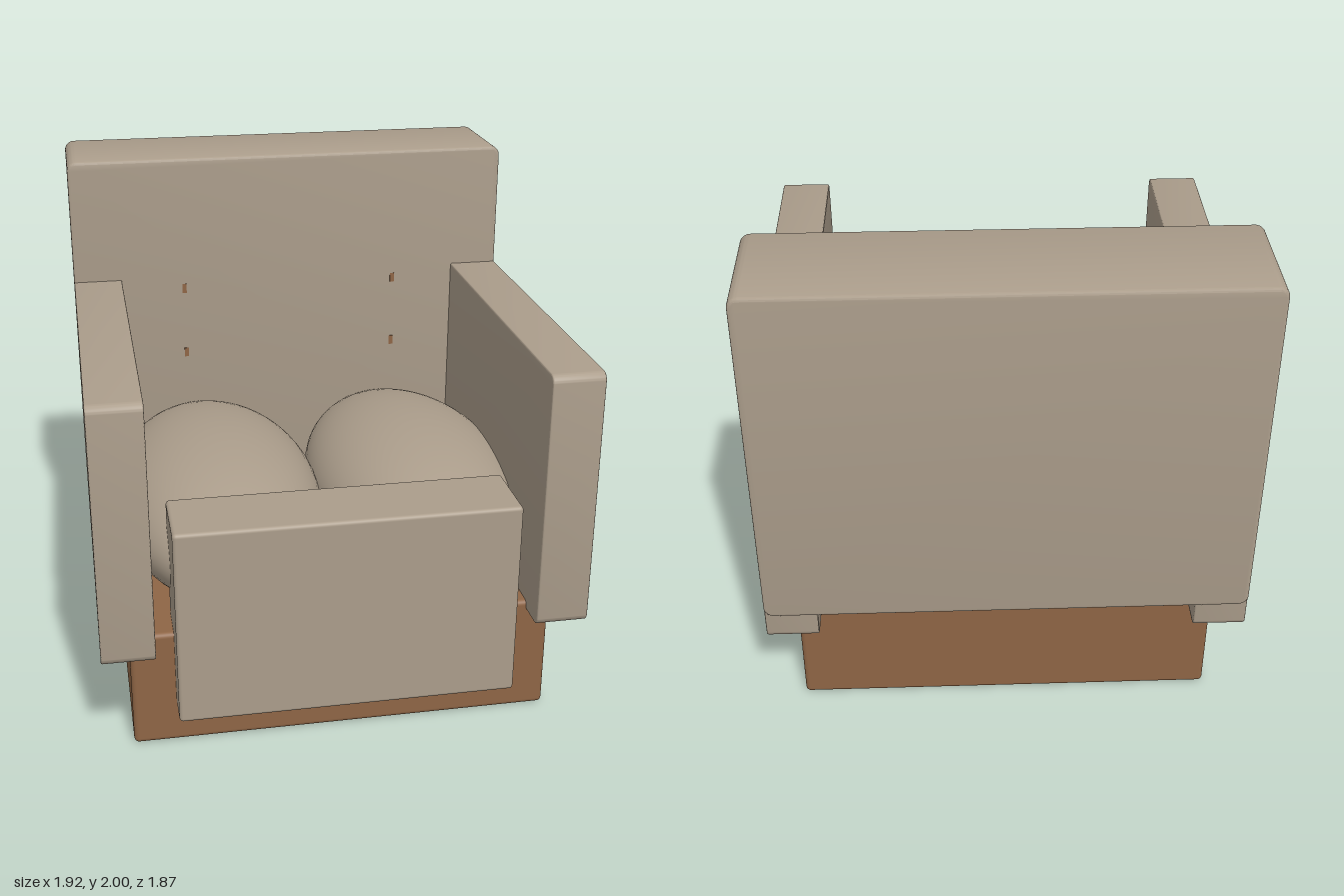
import * as THREE from 'three';
import { toCreasedNormals } from 'three/addons/utils/BufferGeometryUtils.js';
import { RoundedBoxGeometry } from 'three/addons/geometries/RoundedBoxGeometry.js';

// Centred slab with rounded profile corners (radius r) and a small bevel on its two faces
function slabGeometry(w, h, depth, r, bevel) {
  const x = w / 2 - bevel, y = h / 2 - bevel, c = r - bevel;
  const s = new THREE.Shape();
  s.moveTo(-x + c, -y);
  s.lineTo(x - c, -y);
  s.absarc(x - c, -y + c, c, -Math.PI / 2, 0);
  s.lineTo(x, y - c);
  s.absarc(x - c, y - c, c, 0, Math.PI / 2);
  s.lineTo(-x + c, y);
  s.absarc(-x + c, y - c, c, Math.PI / 2, Math.PI);
  s.lineTo(-x, -y + c);
  s.absarc(-x + c, -y + c, c, Math.PI, Math.PI * 1.5);
  const g = new THREE.ExtrudeGeometry(s, {
    depth: depth - 2 * bevel, bevelEnabled: true, bevelThickness: bevel,
    bevelSize: bevel, bevelSegments: 3, curveSegments: 6,
  });
  g.center();
  return toCreasedNormals(g, 0.7);
}

export function createModel() {
  const group = new THREE.Group();
  const fabric = new THREE.MeshStandardMaterial({ color: 0xab9d8b });
  fabric.name = 'taupe fabric';
  const wood = new THREE.MeshStandardMaterial({ color: 0x8e6545 });
  wood.name = 'brown wood';

  const add = (name, geometry, material, x, y, z) => {
    const mesh = new THREE.Mesh(geometry, material);
    mesh.name = name;
    mesh.position.set(x, y, z);
    group.add(mesh);
    return mesh;
  };

  const midX = -0.025; // the chair body sits off centre because of the side knob

  // Plinth, backrest and front panel
  add('base', new RoundedBoxGeometry(1.65, 0.48, 1.59, 3, 0.02), wood, midX, 0.24, 0.005);
  add('backrest', slabGeometry(1.87, 1.43, 0.45, 0.04, 0.012), fabric, midX, 1.285, -0.71);
  add('frontPanel', new RoundedBoxGeometry(1.31, 0.797, 0.3, 3, 0.015), fabric, midX, 0.564, 0.78);

  for (const [side, s] of [['left', 1], ['right', -1]]) {
    // Arm: profile in the side plane
    const arm = slabGeometry(1.855, 1.035, 0.203, 0.035, 0.006).rotateY(Math.PI / 2);
    add(side + 'Arm', arm, fabric, midX + s * 0.8335, 0.9625, 0.0075);

    // Plump seat cushion
    const cushion = new THREE.SphereGeometry(1, 48, 32).scale(0.425, 0.28, 0.78);
    add(side + 'Cushion', cushion, fabric, midX + s * 0.41, 0.72, 0.12);

    // Small pegs showing through the backrest
    for (const y of [1.135, 1.43]) {
      add(side + 'BackPeg', new THREE.BoxGeometry(0.018, 0.04, 0.006), wood,
        midX + s * 0.463, y, -0.484);
    }
  }

  // Small pegs showing through the arm beside the knob
  for (const z of [0.47, -0.45]) {
    for (const [y, h] of [[0.86, 0.03], [1.07, 0.016]]) {
      add('armPeg', new THREE.BoxGeometry(0.006, h, 0.016), wood, 0.909, y, z);
    }
  }

  // Oval side knob
  const knob = new THREE.CylinderGeometry(1, 1, 0.07, 40)
    .rotateZ(-Math.PI / 2).scale(1, 0.12, 0.104);
  add('sideKnob', knob, wood, 0.923, 0.765, 0.008);

  return group;
}
